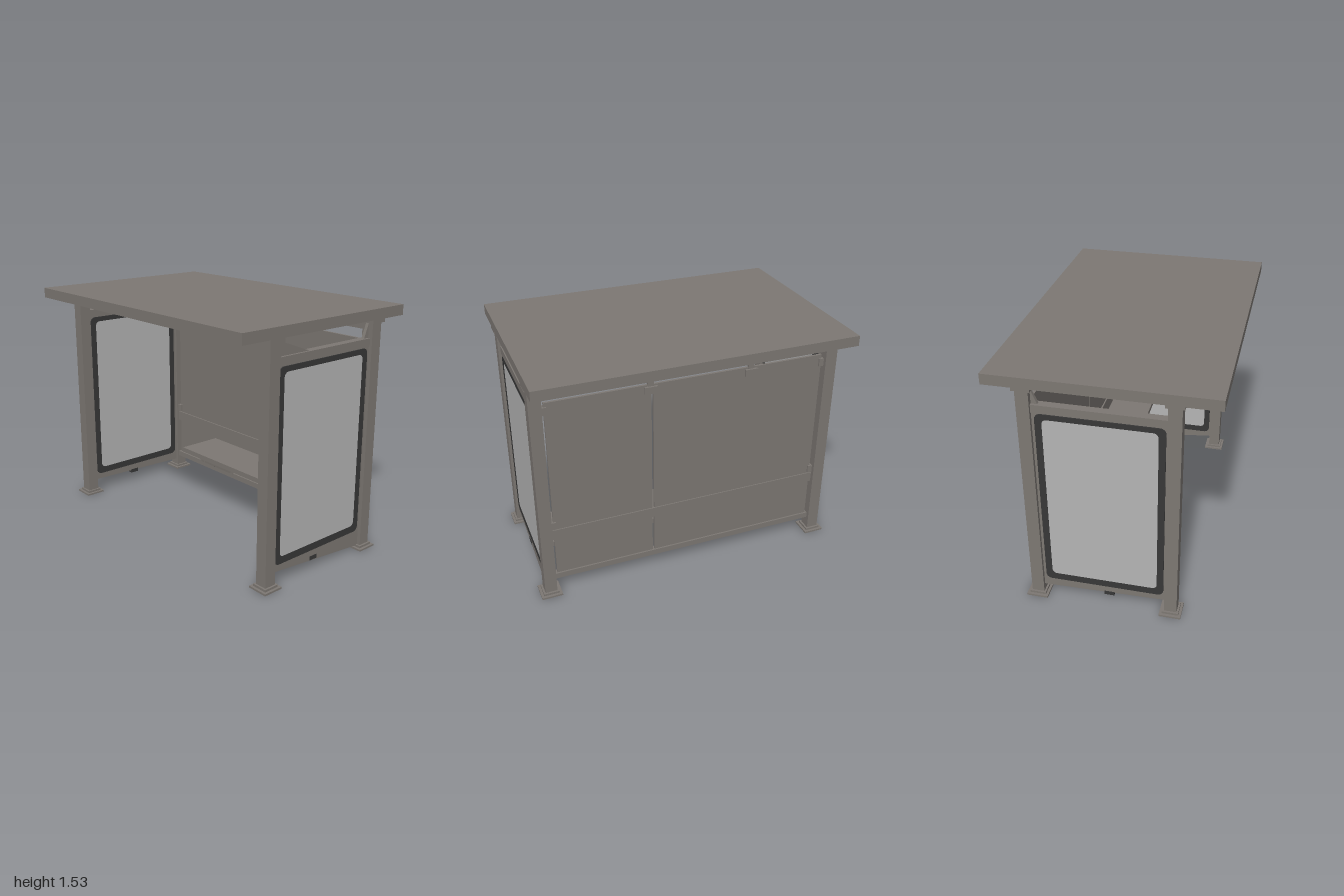
import * as THREE from 'three';

const steel = new THREE.MeshStandardMaterial({ color: 0x7d7873 });
steel.name = 'warm grey steel';
const trim = new THREE.MeshStandardMaterial({ color: 0x383838 });
trim.name = 'dark frame';
const poster = new THREE.MeshStandardMaterial({ color: 0xb5b5b5 });
poster.name = 'light panel';

// Box given by its lower and upper limits on each axis
function box(parent, name, [x0, x1], [y0, y1], [z0, z1], mat = steel) {
  const mesh = new THREE.Mesh(new THREE.BoxGeometry(x1 - x0, y1 - y0, z1 - z0), mat);
  mesh.position.set((x0 + x1) / 2, (y0 + y1) / 2, (z0 + z1) / 2);
  mesh.name = name;
  parent.add(mesh);
  return mesh;
}

// Upright plate drawn in (-z, y) and thickened along x, centred on x
function sidePlate(parent, name, shape, x, thickness, mat = steel) {
  const geo = new THREE.ExtrudeGeometry(shape, { depth: thickness, bevelEnabled: false, curveSegments: 6 });
  geo.translate(0, 0, -thickness / 2).rotateY(Math.PI / 2);
  const mesh = new THREE.Mesh(geo, mat);
  mesh.position.x = x;
  mesh.name = name;
  parent.add(mesh);
}

const polygon = (pts) => new THREE.Shape(pts.map(([z, y]) => new THREE.Vector2(-z, y)));

function roundedRect(a, b, y0, y1, r) {
  const s = new THREE.Shape();
  s.moveTo(a + r, y0);
  s.lineTo(b - r, y0);
  s.absarc(b - r, y0 + r, r, -Math.PI / 2, 0);
  s.lineTo(b, y1 - r);
  s.absarc(b - r, y1 - r, r, 0, Math.PI / 2);
  s.lineTo(a + r, y1);
  s.absarc(a + r, y1 - r, r, Math.PI / 2, Math.PI);
  s.lineTo(a, y0 + r);
  s.absarc(a + r, y0 + r, r, Math.PI, Math.PI * 1.5);
  return s;
}

function createPost(x, z) {
  const post = new THREE.Group();
  post.name = 'post';
  const square = (name, half, y) => box(post, name, [-half, half], y, [-half, half]);
  square('column', 0.038, [0.02, 1.45]);
  square('basePlate', 0.066, [0, 0.012]);
  square('baseStep', 0.05, [0.012, 0.026]);
  square('topBracket', 0.052, [1.445, 1.466]);
  post.position.set(x, 0, z);
  return post;
}

function createEndWall(side) {
  const wall = new THREE.Group();
  wall.name = side > 0 ? 'leftEndWall' : 'rightEndWall';
  const x = side * 0.927;
  const backBottom = side > 0 ? 0.02 : 0.07;
  sidePlate(wall, 'endPanel', polygon([[0.365, 0.09], [-0.395, backBottom], [-0.395, 1.31], [0.365, 1.31]]), x, 0.036);
  box(wall, 'topRail', [x - 0.025, x + 0.025], [1.305, 1.355], [-0.395, 0.365]);
  // Poster and its dark border, on both faces
  const border = roundedRect(-0.35, 0.375, 0.13, 1.3, 0.035);
  border.holes.push(roundedRect(-0.31, 0.335, 0.175, 1.268, 0.03));
  for (const face of [-1, 1]) {
    const fx = x + face * 0.02;
    sidePlate(wall, 'posterBorder', border, fx, 0.008, trim);
    sidePlate(wall, 'poster', roundedRect(-0.31, 0.335, 0.175, 1.268, 0.03), fx, 0.006, poster);
  }
  box(wall, 'lowerLatch', [x - 0.02, x + 0.02], [0.062, 0.088], [-0.012, 0.048], trim);
  // Small gusset by the rear post, long one by the front post
  sidePlate(wall, 'rearGusset', polygon([[-0.355, 1.355], [-0.395, 1.355], [-0.395, 1.45]]), x, 0.02);
  if (side > 0) sidePlate(wall, 'frontGusset', polygon([[0.365, 1.355], [0.11, 1.355], [0.365, 1.45]]), x, 0.02);
  return wall;
}

function createBackWall() {
  const wall = new THREE.Group();
  wall.name = 'backWall';
  const z = [-0.435, -0.42];
  box(wall, 'widePane', [-0.878, 0.229], [0.13, 1.335], z);
  box(wall, 'narrowPane', [0.241, 0.875], [0.13, 1.335], z);
  box(wall, 'bottomRail', [-0.895, 0.895], [0.1, 0.138], [-0.445, -0.405]);
  box(wall, 'middleRail', [-0.895, 0.895], [0.4, 0.468], [-0.442, -0.41]);
  box(wall, 'topBeam', [-0.895, 0.895], [1.4, 1.466], [-0.455, -0.4]);
  // Clips joining panes, beam and posts
  for (const x of [-0.395, 0.245]) {
    box(wall, 'hangerClip', [x - 0.04, x + 0.04], [1.28, 1.325], [-0.45, -0.405]);
    box(wall, 'hangerStem', [x - 0.018, x + 0.018], [1.32, 1.405], [-0.438, -0.417]);
  }
  for (const x of [-0.88, 0.88]) {
    for (const y of [0.5, 1.285]) box(wall, 'postClip', [x - 0.02, x + 0.02], [y - 0.025, y + 0.025], [-0.445, -0.405]);
  }
  box(wall, 'roofClip', [-0.21, -0.11], [1.435, 1.466], [-0.4, -0.37]);
  return wall;
}

function createBench() {
  const bench = new THREE.Group();
  bench.name = 'bench';
  box(bench, 'seat', [-0.45, 0.888], [0.327, 0.36], [-0.41, -0.1]);
  for (const x of [-0.275, 0.755]) {
    box(bench, 'seatBracketPlate', [x - 0.027, x + 0.027], [0.12, 0.327], [-0.42, -0.4]);
    for (const dx of [-0.02, 0.02]) {
      sidePlate(bench, 'seatBracketArm', polygon([[-0.41, 0.15], [-0.37, 0.15], [-0.14, 0.29], [-0.14, 0.33], [-0.41, 0.33]]), x + dx, 0.012);
    }
  }
  return bench;
}

export function createModel() {
  const shelter = new THREE.Group();
  shelter.name = 'busShelter';
  box(shelter, 'roof', [-0.985, 0.982], [1.466, 1.53], [-0.65, 0.65]);
  for (const side of [-1, 1]) {
    shelter.add(createPost(side * 0.929, 0.398), createPost(side * 0.929, -0.43));
    shelter.add(createEndWall(side));
  }
  shelter.add(createBackWall(), createBench());
  return shelter;
}
